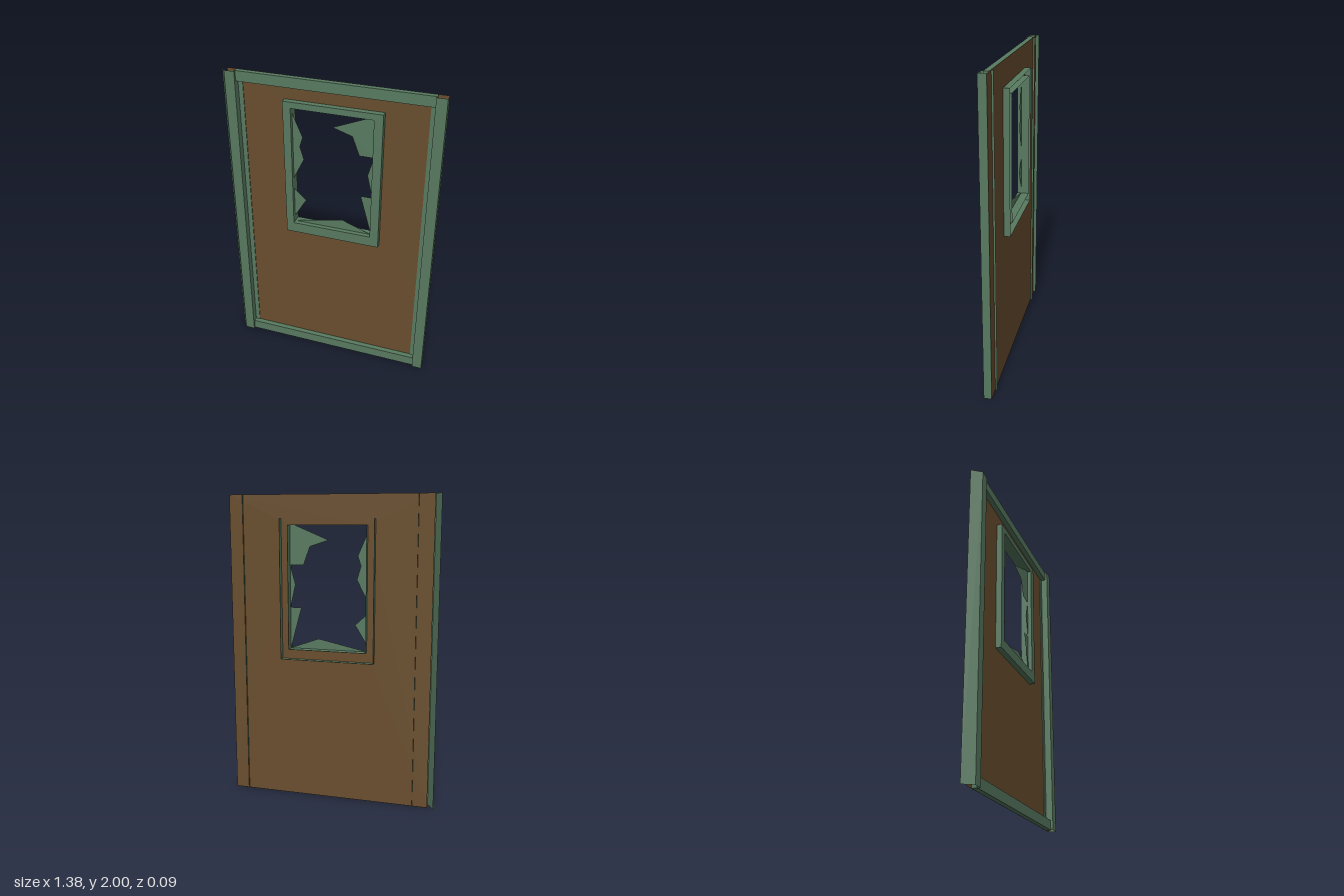
import * as THREE from 'three';

const green = new THREE.MeshStandardMaterial({ color: 0x587a60, side: THREE.DoubleSide });
green.name = 'green metal';
const brown = new THREE.MeshStandardMaterial({ color: 0x694e2e, side: THREE.DoubleSide });
brown.name = 'brown panel';

function part(name, geometry, material) {
  const mesh = new THREE.Mesh(geometry, material);
  mesh.name = name;
  return mesh;
}

// Open folded sheet: a 2D path stretched between two levels
function sheet(path, from, to, place) {
  const pos = [];
  for (let i = 0; i + 1 < path.length; i++) {
    const [a, b] = [path[i], path[i + 1]];
    const q = [place(a, from), place(b, from), place(b, to), place(a, to)];
    for (const k of [0, 1, 2, 0, 2, 3]) pos.push(...q[k]);
  }
  const g = new THREE.BufferGeometry();
  g.setAttribute('position', new THREE.Float32BufferAttribute(pos, 3));
  g.computeVertexNormals();
  return g;
}
const alongY = ([x, z], y) => [x, y, z];
const alongZ = ([x, y], z) => [x, y, z];

const rect = (x0, x1, y0, y1) => [[x0, y0], [x1, y0], [x1, y1], [x0, y1]];
const toPoints = (list) => list.map(([x, y]) => new THREE.Vector2(x, y));

// Flat plate at depth z with an optional hole
function plate(outline, z, hole) {
  const shape = new THREE.Shape(toPoints(outline));
  if (hole) shape.holes.push(new THREE.Path(toPoints(hole)));
  return new THREE.ShapeGeometry(shape).translate(0, 0, z);
}

export function createModel() {
  const door = new THREE.Group();
  door.name = 'door';

  const outer = rect(-0.285, 0.335, 0.94, 1.85);
  const inner = rect(-0.235, 0.28, 1.008, 1.81);

  // Thin door panel with the window opening
  door.add(part('panel', plate(rect(-0.648, 0.69, 0, 2), -0.005, inner), brown));

  // Folded side stiles, open at the ends
  const leftProfile = [[0.69, -0.005], [0.69, 0.045], [0.625, 0.045], [0.625, 0], [0.595, 0], [0.595, -0.017]];
  const rightProfile = [[-0.69, -0.02], [-0.645, 0.045], [-0.58, 0.045], [-0.58, 0], [-0.55, 0], [-0.55, -0.017]];
  door.add(part('leftStile', sheet(leftProfile, 0, 2, alongY), green));
  door.add(part('rightStile', sheet(rightProfile, 0, 2, alongY), green));

  // Top and bottom rails with slightly slanted ends
  const railOutline = [[-0.59, -0.03], [0.632, -0.03], [0.628, 0.004], [-0.585, 0.004]];
  for (const [name, y] of [['bottomRail', 0], ['topRail', 1.935]]) {
    const g = new THREE.ExtrudeGeometry(new THREE.Shape(toPoints(railOutline)), { depth: 0.065, bevelEnabled: false });
    door.add(part(name, g.rotateX(-Math.PI / 2).translate(0, y, 0), green));
  }

  // Window frame: front face with outer and inner walls, open at the back
  const frame = new THREE.Group();
  frame.name = 'windowFrame';
  frame.add(part('frameFace', plate(outer, 0.033, inner), green));
  for (const [name, loop] of [['frameOuterWall', outer], ['frameInnerWall', inner]]) {
    frame.add(part(name, sheet([...loop, loop[0]], -0.045, 0.033, alongZ), green));
  }
  door.add(frame);

  // Jagged remains of the window pane
  const shards = [
    [[-0.235, 1.77], [-0.17, 1.62], [-0.19, 1.555], [-0.165, 1.47], [-0.235, 1.33]],
    [[-0.235, 1.255], [-0.155, 1.18], [-0.235, 1.05]],
    [[-0.235, 1.01], [0.09, 1.08], [0.28, 1.01]],
    [[0.28, 1.01], [0.205, 1.28], [0.28, 1.28]],
    [[0.28, 1.28], [0.245, 1.43], [0.28, 1.555]],
    [[0.25, 1.81], [0.02, 1.715], [0.145, 1.675], [0.19, 1.555], [0.28, 1.555], [0.28, 1.81]],
  ];
  shards.forEach((s, i) => door.add(part('paneShard' + (i + 1), plate(s, 0.006), green)));

  return door;
}
